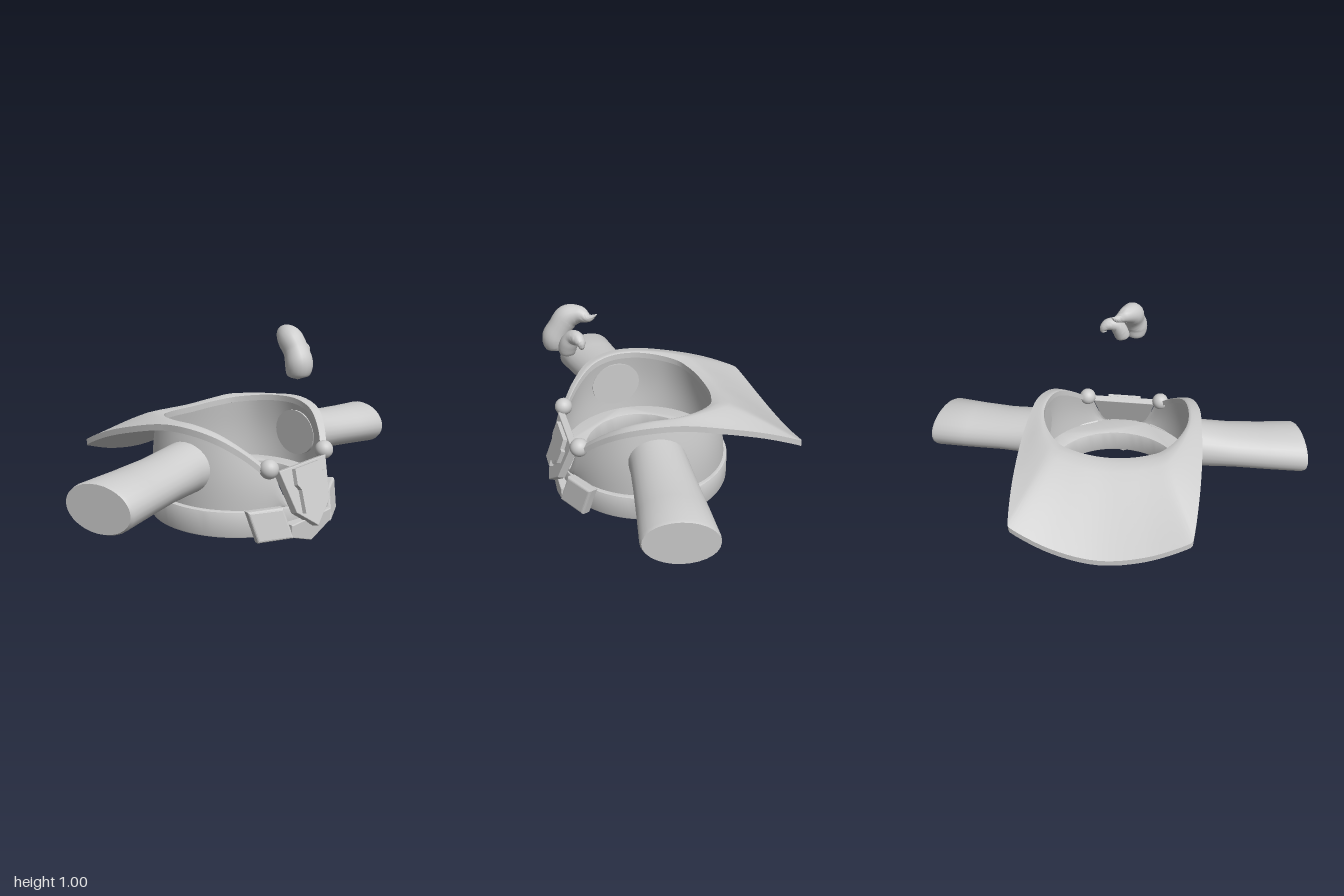
import * as THREE from 'three';
import { toCreasedNormals } from 'three/addons/utils/BufferGeometryUtils.js';

const V = (p) => new THREE.Vector3(...p);
const grey = new THREE.MeshStandardMaterial({ color: 0xcccccc });
const greyOpen = new THREE.MeshStandardMaterial({ color: 0xcccccc, side: THREE.DoubleSide });

function part(name, geometry, material = grey) {
  const mesh = new THREE.Mesh(geometry, material);
  mesh.name = name;
  return mesh;
}

// Skin a list of closed rings (arrays of Vector3, counter-clockwise about the path)
function loft(rings, capped = true, crease = 0.7) {
  const n = rings[0].length, pos = [], idx = [];
  rings.forEach((r) => r.forEach((p) => pos.push(p.x, p.y, p.z)));
  for (let i = 0; i < rings.length - 1; i++) {
    for (let j = 0; j < n; j++) {
      const k = (j + 1) % n;
      const a = i * n + j, b = i * n + k, c = b + n, d = a + n;
      idx.push(a, b, c, a, c, d);
    }
  }
  if (capped) {
    [0, rings.length - 1].forEach((i) => {
      const mid = new THREE.Vector3();
      rings[i].forEach((p) => mid.addScaledVector(p, 1 / n));
      const m = pos.length / 3;
      pos.push(mid.x, mid.y, mid.z);
      for (let j = 0; j < n; j++) {
        const a = i * n + j, b = i * n + ((j + 1) % n);
        if (i) idx.push(m, a, b); else idx.push(m, b, a);
      }
    });
  }
  const g = new THREE.BufferGeometry();
  g.setAttribute('position', new THREE.Float32BufferAttribute(pos, 3));
  g.setIndex(idx);
  return toCreasedNormals(g, crease);
}

// Half outline on +x, completed by its mirror image; the middle point lies on x = 0
const mirrored = (half) => [...half, ...half.slice(0, -1).reverse().map(([x, y, z]) => [-x, y, z])];

// Plate cut from a front outline
function plate(points, depth, bevel) {
  const shape = new THREE.Shape(points.map(([x, y]) => new THREE.Vector2(x, y)));
  return new THREE.ExtrudeGeometry(shape, {
    depth, bevelEnabled: bevel > 0, bevelSize: bevel, bevelThickness: bevel, bevelOffset: -bevel, bevelSegments: 3,
  });
}

// Lock of hair: tapered tube through [x, y, z, radius] points
function lock(points, ref) {
  const curve = new THREE.CatmullRomCurve3(points.map((p) => V(p.slice(0, 3))));
  const radius = new THREE.CatmullRomCurve3(points.map((p) => V([p[3], p[3], 0])), false, 'catmullrom', 0.4);
  const rings = [], steps = 40, sides = 20;
  for (let i = 0; i <= steps; i++) {
    const t = i / steps, c = curve.getPoint(t), tan = curve.getTangent(t);
    const u = new THREE.Vector3().crossVectors(ref, tan).normalize();
    const w = new THREE.Vector3().crossVectors(tan, u);
    const r = Math.max(radius.getPoint(t).x, 0.001);
    rings.push(Array.from({ length: sides }, (_, j) => {
      const a = (j / sides) * Math.PI * 2;
      return c.clone().addScaledVector(u, r * Math.cos(a)).addScaledVector(w, r * Math.sin(a));
    }));
  }
  return loft(rings, true, 1.2);
}

// Shirt wall: from an oval waist up to the neckline, open in a V at the front
function shirt() {
  const half = [[0, 0.19, 0.545], [0.11, 0.2, 0.535], [0.15, 0.27, 0.52], [0.185, 0.36, 0.495],
    [0.285, 0.45, 0.415], [0.355, 0.51, 0.32], [0.395, 0.535, 0.2], [0.405, 0.535, 0.08], [0.385, 0.515, -0.02],
    [0.34, 0.505, -0.11], [0.26, 0.49, -0.18], [0.14, 0.485, -0.225], [0, 0.48, -0.24]];
  const rim = new THREE.CatmullRomCurve3(mirrored(half).slice(0, -1).map(V), true);
  const top = Array.from({ length: 96 }, (_, i) => rim.getPoint(i / 96));
  const rings = [];
  for (let k = 0; k <= 10; k++) {
    const t = k / 10, swell = Math.sin(Math.PI * t);
    rings.push(top.map((p) => {
      const a = Math.atan2(p.x / 0.43, (p.z - 0.125) / 0.415);
      const base = new THREE.Vector3(0.43 * Math.sin(a), 0.17, 0.125 + 0.415 * Math.cos(a));
      const q = base.lerp(p, t);
      return q.set(q.x * (1 + 0.03 * swell), q.y, 0.125 + (q.z - 0.125) * (1 + 0.015 * swell));
    }));
  }
  return loft(rings, false, 1);
}

// Collar: narrow trim over the shoulders that widens into the cape flap behind
function collar() {
  const inner = [[0.19, 0.37, 0.49], [0.27, 0.46, 0.41], [0.335, 0.53, 0.31], [0.365, 0.557, 0.2], [0.37, 0.557, 0.08],
    [0.345, 0.55, -0.01], [0.3, 0.54, -0.09], [0.26, 0.533, -0.135], [0.24, 0.53, -0.15], [0.22, 0.528, -0.16],
    [0.12, 0.52, -0.19], [0, 0.515, -0.2]];
  const outer = [[0.225, 0.372, 0.5], [0.305, 0.46, 0.425], [0.38, 0.527, 0.33], [0.425, 0.556, 0.2], [0.44, 0.55, 0.05],
    [0.45, 0.505, -0.15], [0.447, 0.44, -0.36], [0.433, 0.367, -0.53], [0.427, 0.353, -0.555], [0.405, 0.343, -0.566],
    [0.22, 0.28, -0.607], [0, 0.25, -0.625]];
  const a = new THREE.CatmullRomCurve3(mirrored(inner).map(V));
  const b = new THREE.CatmullRomCurve3(mirrored(outer).map(V));
  const rings = [], steps = 132, rows = 10;
  for (let i = 0; i <= steps; i++) {
    const p = a.getPoint(i / steps), q = b.getPoint(i / steps), span = p.distanceTo(q);
    const upper = [];
    for (let k = 0; k <= rows; k++) {
      const c = p.clone().lerp(q, k / rows);
      c.y += 0.07 * span * Math.sin(Math.PI * Math.sqrt(k / rows));
      upper.push(c);
    }
    const lower = upper.map((c) => c.clone().setY(c.y - 0.03)).reverse();
    rings.push([...upper, ...lower]);
  }
  return loft(rings, true, 0.7);
}

// Oval sleeve stub; each section is [x, y, z, ry, rz, rake]
function sleeve(side) {
  const sections = [[0.395, 0.365, 0.168, 0.12, 0.135, 0.1], [0.45, 0.361, 0.172, 0.116, 0.136, 0.08],
    [0.6, 0.352, 0.19, 0.104, 0.142, 0.13], [0.78, 0.342, 0.212, 0.106, 0.152, 0.2],
    [0.943, 0.335, 0.234, 0.111, 0.16, 0.27], [0.957, 0.335, 0.235, 0.105, 0.155, 0.27]];
  return loft(sections.map(([x, y, z, ry, rz, rake]) => Array.from({ length: 28 }, (_, j) => {
    const t = (j / 28) * Math.PI * 2, dz = side * rz * Math.sin(t);
    return new THREE.Vector3(side * (x - rake * dz), y + ry * Math.cos(t), z + dz);
  })), true, 0.7);
}

// Oval belt ring
function belt() {
  const shape = new THREE.Shape();
  shape.absellipse(0, 0, 0.455, 0.4325, 0, Math.PI * 2);
  const hole = new THREE.Path();
  hole.absellipse(0, 0, 0.345, 0.295, 0, Math.PI * 2, true);
  shape.holes.push(hole);
  const g = new THREE.ExtrudeGeometry(shape, {
    depth: 0.109, curveSegments: 40, bevelSize: 0.008, bevelThickness: 0.008, bevelOffset: -0.008, bevelSegments: 2,
  });
  g.rotateX(-Math.PI / 2).translate(0, 0.073, 0.1275);
  return toCreasedNormals(g, 0.6);
}

export function createModel() {
  const model = new THREE.Group();
  model.name = 'caped shirt';
  model.add(part('shirt', shirt(), greyOpen), part('collarCape', collar()), part('belt', belt()));

  // Mirrored sleeves, cord knobs and slanted belt flaps
  for (const side of [1, -1]) {
    const label = side > 0 ? 'left' : 'right';
    model.add(part(label + 'Sleeve', sleeve(side)));

    const knob = part(label + 'Knob', new THREE.SphereGeometry(0.045, 24, 16));
    knob.position.set(side * 0.207, 0.38, 0.495);
    model.add(knob);

    const outline = [[-0.11, -0.074], [0.065, -0.074], [0.11, 0.074], [-0.065, 0.074]].map(([x, y]) => [side * x, y]);
    const flap = part(label + 'BeltFlap', plate(outline, 0.03, 0.012));
    flap.geometry.translate(0, 0, -0.015);
    flap.position.set(side * 0.225, 0.127, 0.515);
    flap.rotation.set(-0.15, side * 0.47, 0, 'YXZ');
    model.add(flap);
  }

  // Pointed belt front below the panel
  const buckle = part('beltPoint', plate([[-0.15, 0.06], [0, 0.002], [0.15, 0.06], [0.15, 0.12], [-0.15, 0.12]], 0.09, 0.005));
  buckle.position.z = 0.495;
  model.add(buckle);

  // Leaning chest panel with a raised stepped plate
  const panel = new THREE.Group();
  panel.name = 'chestPanel';
  panel.add(part('panelBase', plate(
    [[0, -0.09], [0.125, 0], [0.175, 0.195], [-0.175, 0.195], [-0.125, 0]], 0.03, 0.004)));
  const steps = part('panelSteps', plate([[-0.09, -0.012], [0.005, -0.012], [0.005, 0.025], [0.05, 0.025], [0.075, 0.065],
    [0.105, 0.065], [0.12, 0.135], [0.095, 0.135], [0.095, 0.185], [-0.09, 0.185], [-0.1, 0.115], [-0.08, 0.09]], 0.022, 0));
  steps.position.z = 0.033;
  panel.add(steps);
  panel.position.set(0, 0.165, 0.565);
  panel.rotation.x = -0.34;
  panel.scale.y = 1.05;
  model.add(panel);

  // Floating hair tuft
  const tuft = new THREE.Group();
  tuft.name = 'hairTuft';
  tuft.add(part('mainLock', lock([[-0.055, 0.771, 0.525, 0.006], [-0.056, 0.79, 0.525, 0.05], [-0.056, 0.84, 0.53, 0.062],
    [-0.048, 0.895, 0.505, 0.056], [-0.043, 0.942, 0.468, 0.057], [-0.015, 0.958, 0.42, 0.042],
    [0.028, 0.952, 0.38, 0.018], [0.05, 0.975, 0.348, 0.002]], new THREE.Vector3(1, 0, 0))));
  tuft.add(part('curledLock', lock([[0.004, 0.771, 0.49, 0.005], [0.008, 0.79, 0.49, 0.038], [0.022, 0.835, 0.482, 0.042],
    [0.045, 0.872, 0.465, 0.036], [0.08, 0.88, 0.45, 0.031], [0.102, 0.866, 0.44, 0.023],
    [0.108, 0.848, 0.437, 0.013], [0.088, 0.845, 0.436, 0.002]], new THREE.Vector3(0, 0, 1))));
  model.add(tuft);
  return model;
}
